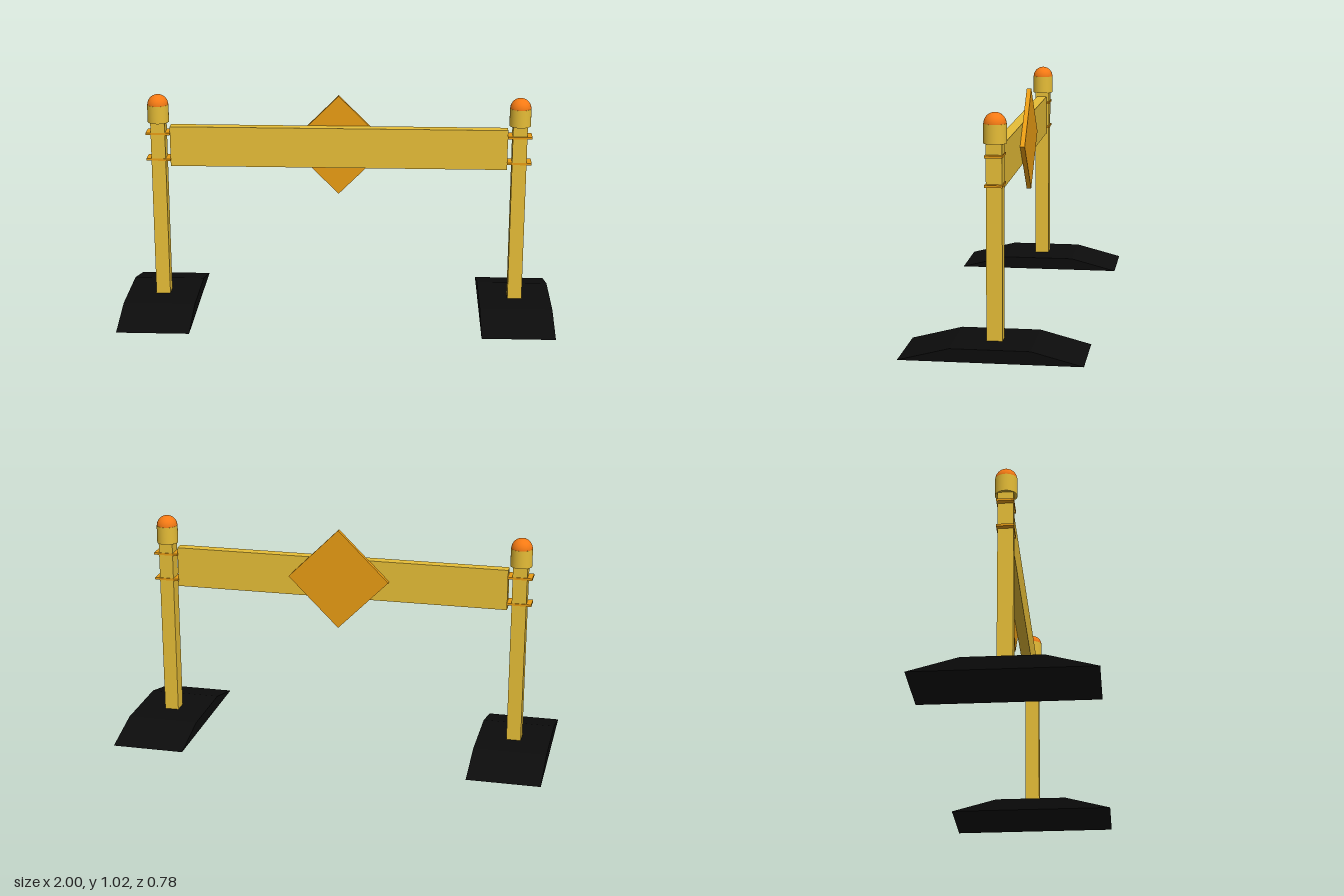
import * as THREE from 'three';

const material = (color) => new THREE.MeshStandardMaterial({ color });

export function createModel() {
  const yellow = material(0xe6bd37);
  const amber = material(0xe89c14);
  const orange = material(0xf57a14);
  const black = material(0x0c0c0c);

  const model = new THREE.Group();
  model.name = 'barrier';

  const add = (parent, name, geometry, mat, x, y, z) => {
    const mesh = new THREE.Mesh(geometry, mat);
    mesh.name = name;
    mesh.position.set(x, y, z);
    parent.add(mesh);
    return mesh;
  };

  // Foot: trapezoid profile in z/y, extruded across x
  const profile = new THREE.Shape([
    new THREE.Vector2(-0.39, 0),
    new THREE.Vector2(0.39, 0),
    new THREE.Vector2(0.17, 0.057),
    new THREE.Vector2(-0.17, 0.057),
  ]);
  const footGeometry = new THREE.ExtrudeGeometry(profile, { depth: 0.335, bevelEnabled: false });
  footGeometry.translate(0, 0, -0.1675).rotateY(Math.PI / 2);

  const postGeometry = new THREE.BoxGeometry(0.066, 0.85, 0.068);
  const capGeometry = new THREE.CylinderGeometry(0.049, 0.049, 0.082, 32);
  const domeGeometry = new THREE.SphereGeometry(0.048, 32, 12, 0, Math.PI * 2, 0, Math.PI / 2);
  const bracketGeometry = new THREE.BoxGeometry(0.112, 0.01, 0.076);

  // Mirrored supports: foot, post, lamp and beam brackets
  for (const side of [1, -1]) {
    const support = new THREE.Group();
    support.name = side > 0 ? 'leftSupport' : 'rightSupport';
    support.position.x = side * 0.832;
    add(support, 'foot', footGeometry, black, 0, 0, 0);
    add(support, 'post', postGeometry, yellow, 0, 0.475, 0);
    add(support, 'lampHousing', capGeometry, yellow, 0, 0.934, 0);
    add(support, 'lampDome', domeGeometry, orange, 0, 0.974, 0);
    for (const y of [0.72, 0.843]) {
      add(support, 'bracket', bracketGeometry, amber, 0, y, 0);
    }
    model.add(support);
  }

  // Crossbeam
  add(model, 'crossbeam', new THREE.BoxGeometry(1.555, 0.188, 0.048), yellow, 0, 0.781, 0);

  // Diamond warning plate fixed to the back of the beam
  const plate = add(model, 'diamondPlate', new THREE.BoxGeometry(0.332, 0.332, 0.021), amber, 0, 0.781, -0.0345);
  plate.rotation.z = Math.PI / 4;

  return model;
}
